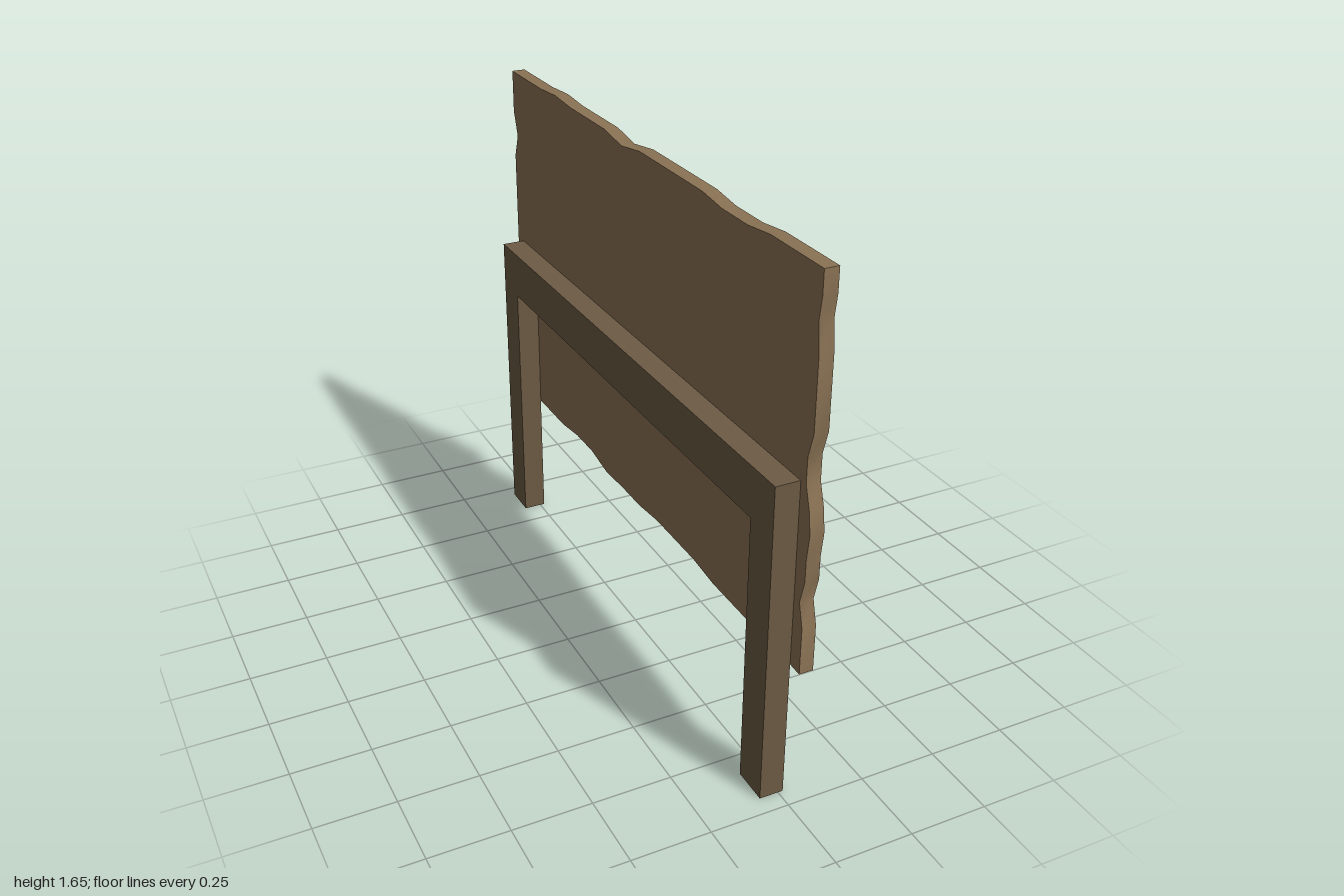
import * as THREE from 'three';
import { toCreasedNormals } from 'three/addons/utils/BufferGeometryUtils.js';

// Extrude a (z, y) outline so that it spans x0..x1
function slab(name, outline, x0, x1, color) {
  const shape = new THREE.Shape(outline.map(([z, y]) => new THREE.Vector2(z, y)));
  const geo = new THREE.ExtrudeGeometry(shape, { depth: x1 - x0, bevelEnabled: false });
  geo.rotateY(-Math.PI / 2).translate(x1, 0, 0);
  const mesh = new THREE.Mesh(toCreasedNormals(geo, 0.7), new THREE.MeshStandardMaterial({ color }));
  mesh.name = name;
  return mesh;
}

export function createModel() {
  const group = new THREE.Group();
  group.name = 'headboard';

  // Live-edge panel: wavy borders, each listed as [z, y]
  const top = [
    [0.99, 1.641], [0.74, 1.641], [0.626, 1.628], [0.487, 1.628], [0.38, 1.641], [-0.005, 1.641],
    [-0.13, 1.623], [-0.246, 1.641], [-0.503, 1.641], [-0.626, 1.649], [-0.75, 1.641], [-1, 1.641],
  ];
  const backEdge = [
    [-1, 1.5], [-0.972, 1.419], [-1, 1.343], [-1, 0.974], [-0.973, 0.894], [-0.97, 0.75],
    [-1, 0.67], [-1, 0.6], [-0.98, 0.525], [-1, 0.447],
  ];
  const bottom = [
    [-0.626, 0.447], [-0.503, 0.463], [-0.38, 0.463], [-0.257, 0.441], [-0.13, 0.447], [-0.005, 0.447],
    [0.123, 0.46], [0.37, 0.46], [0.498, 0.447], [0.733, 0.447], [0.86, 0.454], [0.99, 0.45],
  ];
  const frontEdge = [
    [0.99, 0.6], [0.97, 0.675], [0.99, 0.75], [0.99, 0.82], [1, 0.9], [0.99, 0.97],
    [0.968, 1.04], [0.968, 1.12], [0.99, 1.194], [0.99, 1.419], [0.98, 1.5], [0.99, 1.57],
  ];
  group.add(slab('panel', [...top, ...backEdge, ...bottom, ...frontEdge], 0.016, 0.06, 0x8b7355));

  // Support frame: two legs joined by a top rail, in one piece
  const z0 = -0.954, z1 = 0.942, leg = 0.117, height = 1.037, rail = 0.157;
  group.add(slab('supportFrame', [
    [z0, 0], [z0 + leg, 0], [z0 + leg, height - rail], [z1 - leg, height - rail],
    [z1 - leg, 0], [z1, 0], [z1, height], [z0, height],
  ], -0.06, 0.016, 0x6d5b44));

  return group;
}
